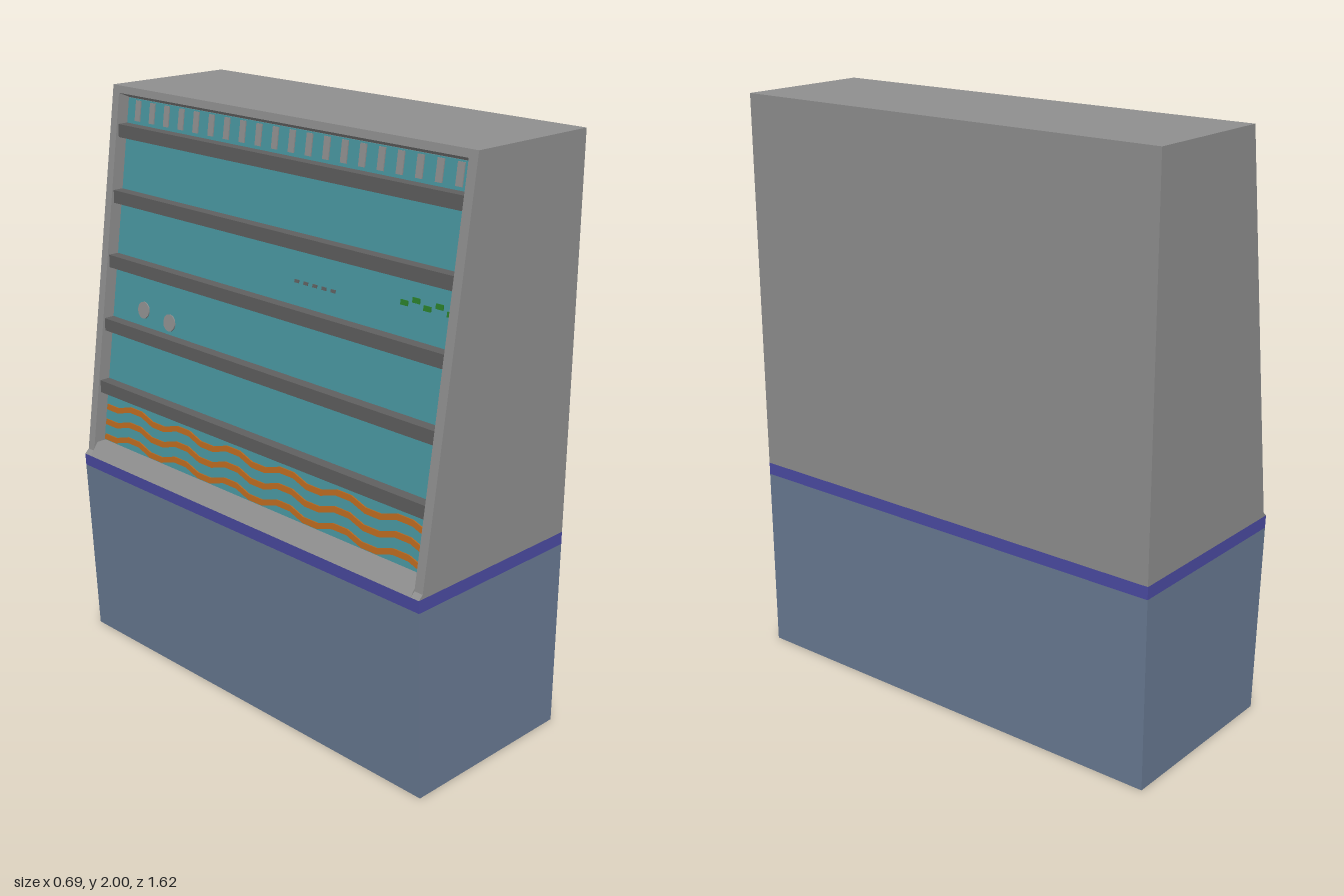
import * as THREE from 'three';

const mat = (name, color) => {
  const m = new THREE.MeshStandardMaterial({ color });
  m.name = name;
  return m;
};

export function createModel() {
  const grey = mat('casingGrey', 0x8f8f8f);
  const blue = mat('baseBlue', 0x697a93);
  const violet = mat('bandViolet', 0x4b4ba3);
  const teal = mat('panelTeal', 0x48959f);
  const dark = mat('shelfDark', 0x606060);
  const orange = mat('waveOrange', 0xbc6a20);
  const green = mat('lightGreen', 0x2a802a);

  const model = new THREE.Group();
  model.name = 'displayCabinet';
  const add = (parent, name, geometry, material) => {
    const mesh = new THREE.Mesh(geometry, material);
    mesh.name = name;
    parent.add(mesh);
    return mesh;
  };
  // Side profile in x and y, extruded from z0 to z1
  const prism = (name, pts, z0, z1, material) => {
    const shape = new THREE.Shape(pts.map(p => new THREE.Vector2(...p)));
    const g = new THREE.ExtrudeGeometry(shape, { depth: z1 - z0, bevelEnabled: false });
    return add(model, name, g.translate(0, 0, z0), material);
  };

  const W = 0.81, IN = 0.777, BACK = 0.345, SLOPE = 0.142, RECESS = 0.05;
  const face = y => -0.33 + (y - 0.7) * SLOPE; // sloping open front
  const panel = y => face(y) + RECESS;         // recessed display panel

  // Base and band
  prism('base', [[-0.315, 0], [BACK, 0], [BACK, 0.652], [-0.343, 0.652]], -W, W, blue);
  prism('band', [[-0.343, 0.652], [BACK, 0.652], [BACK, 0.695], [-0.345, 0.695]], -W, W, violet);

  // Upper casing: recessed core, end cheeks, top lip and sill
  prism('casingCore', [[panel(0.695), 0.695], [BACK, 0.695], [BACK, 2], [panel(2), 2]], -IN, IN, grey);
  for (const s of [-1, 1]) {
    const z0 = s < 0 ? -W : IN;
    prism('endCheek', [[-0.345, 0.695], [BACK, 0.695], [BACK, 2], [face(2), 2], [face(0.71), 0.71]],
      z0, z0 + W - IN, grey);
  }
  prism('topLip', [[face(1.975), 1.975], [panel(1.955), 1.955], [panel(2), 2], [face(2), 2]], -IN, IN, grey);
  prism('sill', [[-0.345, 0.695], [panel(0.695), 0.695], [panel(0.74), 0.74], [-0.312, 0.74]], -IN, IN, grey);

  // Shelves
  for (let i = 0; i < 5; i++) {
    const y0 = 0.925 + i * 0.225, y1 = y0 + 0.045, x = face(y1) + 0.006;
    prism('shelf', [[x, y0], [panel(y0), y0], [panel(y1), y1], [x, y1]], -IN, IN, dark);
  }

  // Display panel: local y runs up the slope, local -x points outward
  const display = new THREE.Group();
  display.name = 'display';
  display.position.x = panel(0);
  display.rotation.z = -Math.atan(SLOPE);
  model.add(display);
  const stretch = Math.hypot(1, SLOPE);
  const plate = (name, y, z, h, w, material, lift = 0.006) =>
    add(display, name, new THREE.BoxGeometry(0.006, h, w), material)
      .position.set(-lift, y * stretch, z);
  plate('backPanel', 1.348, 0, 1.225, 2 * IN, teal, 0.002);

  // Row of upright bars in the top bay
  for (let i = 0; i < 20; i++) plate('uprightBar', 1.915, -0.72 + i * 0.0758, 0.07, 0.026, grey);

  // Stepped waves in the bottom bay
  for (const y of [0.765, 0.82, 0.875]) {
    const line = [];
    for (let i = 0; i <= 24; i++) line.push([-0.77 + i * 1.54 / 24, y * stretch + (i % 4 < 2 ? -0.01 : 0.01)]);
    const outline = [
      ...line.map(([u, v]) => new THREE.Vector2(u, v - 0.01)),
      ...line.reverse().map(([u, v]) => new THREE.Vector2(u, v + 0.01)),
    ];
    const g = new THREE.ExtrudeGeometry(new THREE.Shape(outline), { depth: 0.006, bevelEnabled: false });
    add(display, 'wave', g.rotateY(-Math.PI / 2).translate(-0.004, 0, 0), orange);
  }

  // Small painted marks in the middle bays
  for (let i = 0; i < 5; i++) {
    plate('greenLight', 1.52 + (i % 2) * 0.015, 0.57 + i * 0.045, 0.016, 0.028, green);
    plate('dash', 1.495, 0.12 + i * 0.04, 0.01, 0.018, dark);
  }
  for (const [y, z] of [[1.25, -0.61], [1.235, -0.47]]) {
    const dot = add(display, 'dial', new THREE.CylinderGeometry(0.03, 0.03, 0.006, 12), grey);
    dot.rotation.z = Math.PI / 2;
    dot.position.set(-0.006, y * stretch, z);
  }
  return model;
}
